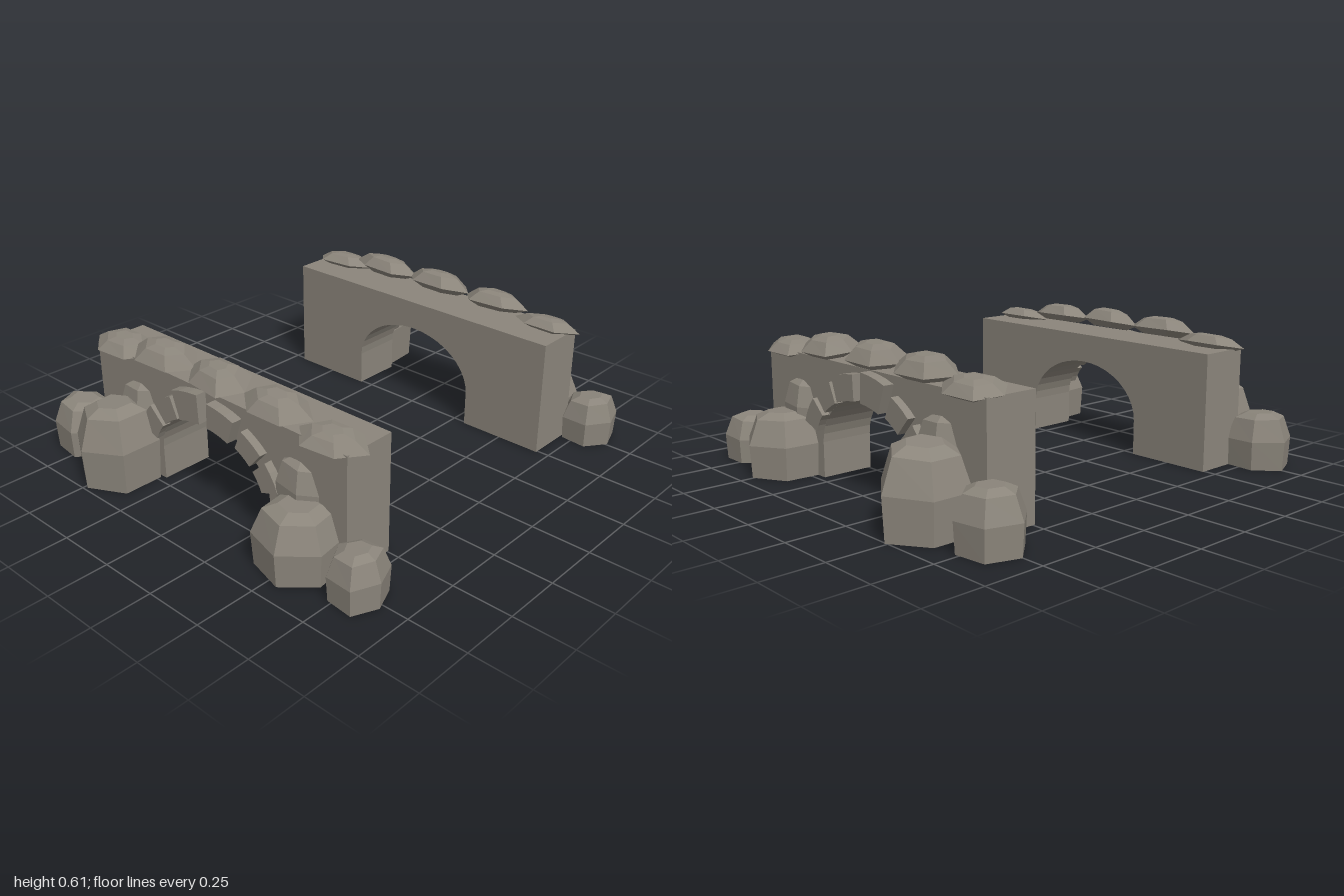
import * as THREE from 'three';

const stone = new THREE.MeshStandardMaterial({ color: 0x8b857b, flatShading: true });
stone.name = 'grey stone';

// Arch opening: straight jambs topped by a half ellipse
const A = 0.31, B = 0.225, SPRING = 0.15;
const archPoint = t => new THREE.Vector2(A * Math.cos(t), SPRING + B * Math.sin(t));

function add(group, geometry, name) {
  const mesh = new THREE.Mesh(geometry, stone);
  mesh.name = name;
  group.add(mesh);
  return mesh;
}

// Faceted stone: a few rings, made irregular by smooth periodic wobble
function faceted(profile, sides, [rx, h, rz], phase, seed, tilt = 0) {
  const points = profile.map(p => new THREE.Vector2(p[0], p[1]));
  const geo = new THREE.LatheGeometry(points, sides, phase);
  const p = geo.attributes.position;
  for (let i = 0; i < p.count; i++) {
    const x = p.getX(i), y = p.getY(i), z = p.getZ(i);
    const a = Math.atan2(z, x);
    const k = 1 + 0.05 * Math.sin(2 * a + seed) + 0.04 * Math.sin(3 * a + seed * 2.3);
    const lift = y > 0 ? 0.05 * x * Math.sin(seed * 1.7) * y : 0;
    p.setXYZ(i, x * k * rx, (y + lift) * h + tilt * z * rz, z * k * rz);
  }
  const flat = geo.toNonIndexed();
  flat.computeVertexNormals();
  return flat;
}

const boulderProfile = [[0, 0], [0.95, 0], [1, 0.52], [0.75, 0.91], [0.42, 1], [0, 1]];
const capProfile = [[0, 0], [0.62, 0], [1, 0.32], [0.62, 0.85], [0.3, 1], [0, 1]];

// One arched wall facing +z; s mirrors the layout for the opposite wall
function buildBridgeSide(s, boulders) {
  const g = new THREE.Group();

  // Wall with the arch cut out
  const shape = new THREE.Shape();
  shape.moveTo(-0.695, 0);
  shape.lineTo(-A, 0);
  for (let i = 0; i <= 20; i++) {
    const q = archPoint(Math.PI * (1 - i / 20));
    shape.lineTo(q.x, q.y);
  }
  shape.lineTo(A, 0);
  shape.lineTo(0.695, 0);
  shape.lineTo(0.695, 0.5);
  shape.lineTo(-0.695, 0.5);
  const wall = new THREE.ExtrudeGeometry(shape, { depth: 0.23, bevelEnabled: false });
  add(g, wall, 'archWall').position.z = 0.49;

  // Raised blocks round the arch: start angle, end angle, height, projection
  const blocks = [[14, 34, 0.09, 0.035], [39, 58, 0.09, 0.035], [64, 86, 0.105, 0.045],
    [94, 116, 0.122, 0.045], [122, 141, 0.095, 0.035], [146, 166, 0.1, 0.035]];
  for (const [d0, d1, height, depth] of blocks) {
    const inner = [], outer = [];
    for (let i = 0; i <= 3; i++) {
      const t = THREE.MathUtils.degToRad(d0 + (d1 - d0) * i / 3);
      const q = archPoint(t);
      const n = new THREE.Vector2(Math.cos(t) / A, Math.sin(t) / B).normalize();
      inner.push(new THREE.Vector2(s * q.x, q.y));
      outer.unshift(new THREE.Vector2(s * (q.x + n.x * height), q.y + n.y * height));
    }
    const geo = new THREE.ExtrudeGeometry(new THREE.Shape([...inner, ...outer]), { depth, bevelEnabled: false });
    add(g, geo, 'archBlock').position.z = 0.72;
  }

  // Coping stones: x, base y, half length, height; all lean outwards
  const caps = [[-0.575, 0.485, 0.16, 0.065], [-0.31, 0.51, 0.175, 0.085], [0, 0.512, 0.172, 0.088],
    [0.315, 0.51, 0.165, 0.08], [0.585, 0.484, 0.155, 0.06]];
  caps.forEach(([x, y, r, h], i) => {
    const geo = faceted(capProfile, 6, [r, h, 0.095], Math.PI / 2, i * 1.9 + s, -0.2);
    const cap = add(g, geo, 'copingStone');
    cap.position.set(s * x, y, 0.673);
    cap.rotation.y = 0.08 * Math.sin(i * 2 + 1);
  });

  // Boulders at the feet
  boulders.forEach(([x, z, rx, rz, h, phase], i) => {
    add(g, faceted(boulderProfile, 6, [rx, h, rz], phase, i * 1.3 + s), 'boulder').position.set(s * x, 0, z);
  });

  // Stones set into the wall above the boulders
  for (const [x, top] of [[-0.44, 0.395], [0.46, 0.39]]) {
    const geo = faceted(boulderProfile, 6, [0.12, 0.22, 0.085], 0.3, x * 5);
    add(g, geo, 'setStone').position.set(s * x, top - 0.22, 0.69);
  }
  return g;
}

export function createModel() {
  const model = new THREE.Group();

  // x, z, half width, half depth, height, turn
  const front = buildBridgeSide(1, [
    [-0.485, 0.82, 0.183, 0.178, 0.33, 0],
    [-0.775, 0.765, 0.14, 0.13, 0.23, 0.35],
    [0.515, 0.775, 0.172, 0.165, 0.262, 0.2],
    [0.79, 0.77, 0.12, 0.115, 0.2, 0.5],
  ]);
  front.name = 'frontBridgeSide';

  const back = buildBridgeSide(-1, [
    [-0.49, 0.825, 0.183, 0.178, 0.33, 0],
    [-0.775, 0.775, 0.14, 0.14, 0.23, 0.7],
    [0.505, 0.785, 0.17, 0.168, 0.262, 0],
    [0.775, 0.77, 0.12, 0.118, 0.2, 0.4],
  ]);
  back.name = 'backBridgeSide';
  back.rotation.y = Math.PI;

  model.add(front, back);
  return model;
}
